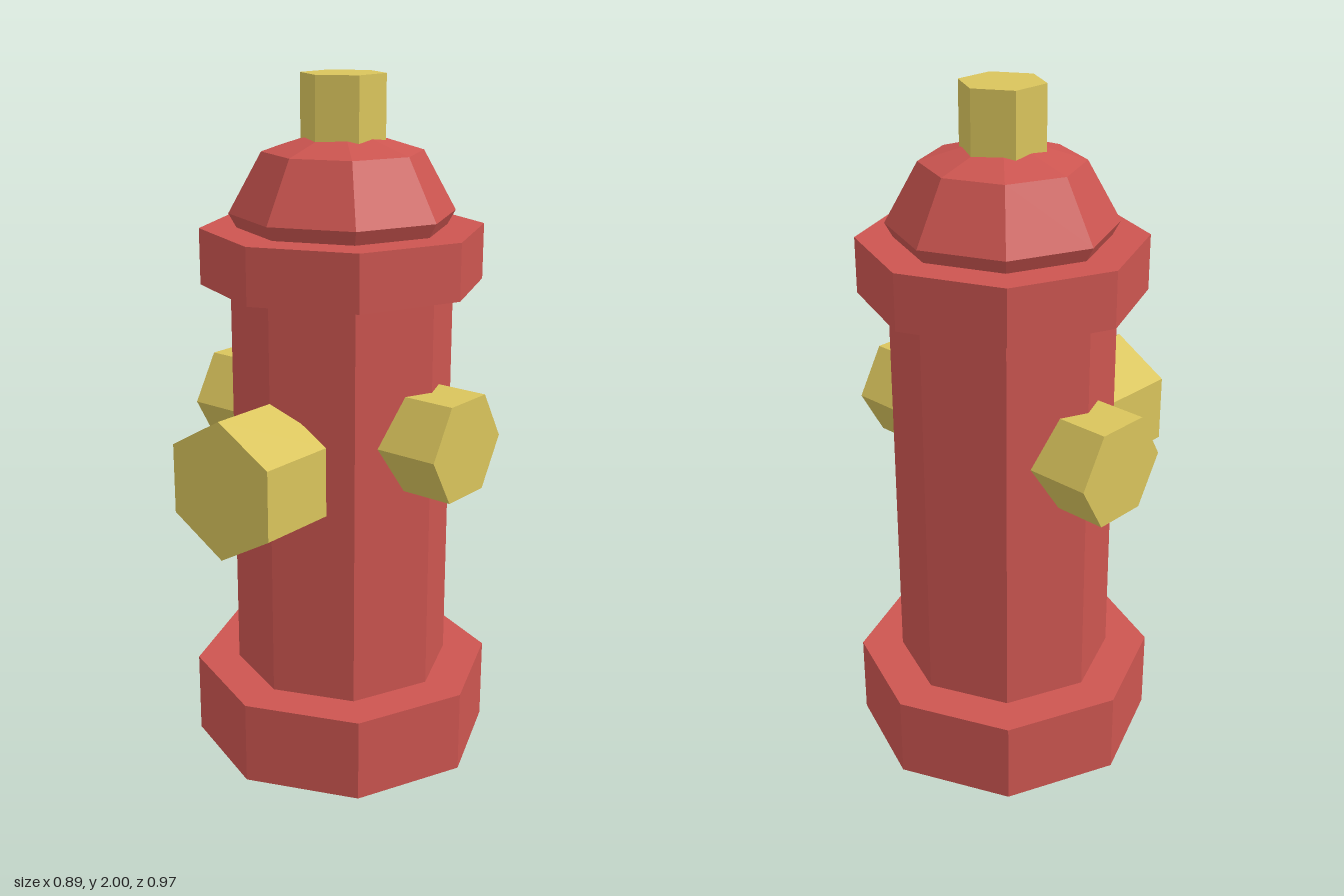
import * as THREE from 'three';

export function createModel() {
  const hydrant = new THREE.Group();
  hydrant.name = 'fireHydrant';
  const red = new THREE.MeshStandardMaterial({ color: 0xcc5550, flatShading: true });
  const yellow = new THREE.MeshStandardMaterial({ color: 0xd9c45c, flatShading: true });
  const axisZ = -0.04; // the barrel sits slightly back to balance the front outlet

  function add(name, geometry, material, x, y, z) {
    const mesh = new THREE.Mesh(geometry, material);
    mesh.name = name;
    mesh.position.set(x, y, z);
    hydrant.add(mesh);
    return mesh;
  }

  // Upright prism standing between two heights
  function prism(name, radius, bottom, top, sides, material) {
    const geometry = new THREE.CylinderGeometry(radius, radius, top - bottom, sides);
    return add(name, geometry, material, 0, (bottom + top) / 2, axisZ);
  }

  // Octagonal barrel with its base and collar
  prism('base', 0.445, 0, 0.245, 8, red);
  prism('barrel', 0.32, 0.2, 1.5, 8, red);
  prism('collar', 0.405, 1.42, 1.58, 8, red);

  // Faceted bonnet: a squashed low-poly ball half sunk in the collar
  const bonnet = new THREE.SphereGeometry(0.322, 8, 4);
  bonnet.scale(1, 0.24 / 0.322, 1);
  add('bonnet', bonnet, red, 0, 1.62, axisZ);

  // Hexagonal operating nut
  prism('topNut', 0.12, 1.78, 2, 6, yellow);

  // Large front outlet, points up and down
  const front = new THREE.CylinderGeometry(0.2, 0.2, 0.24, 6).rotateX(Math.PI / 2);
  add('frontOutlet', front, yellow, 0, 0.93, 0.365);

  // Pair of small side outlets, points front and back
  for (const side of [-1, 1]) {
    const cap = new THREE.CylinderGeometry(0.16, 0.16, 0.24, 6).rotateZ(Math.PI / 2);
    add(side > 0 ? 'leftOutlet' : 'rightOutlet', cap, yellow, side * 0.323, 1.01, axisZ);
  }

  return hydrant;
}
